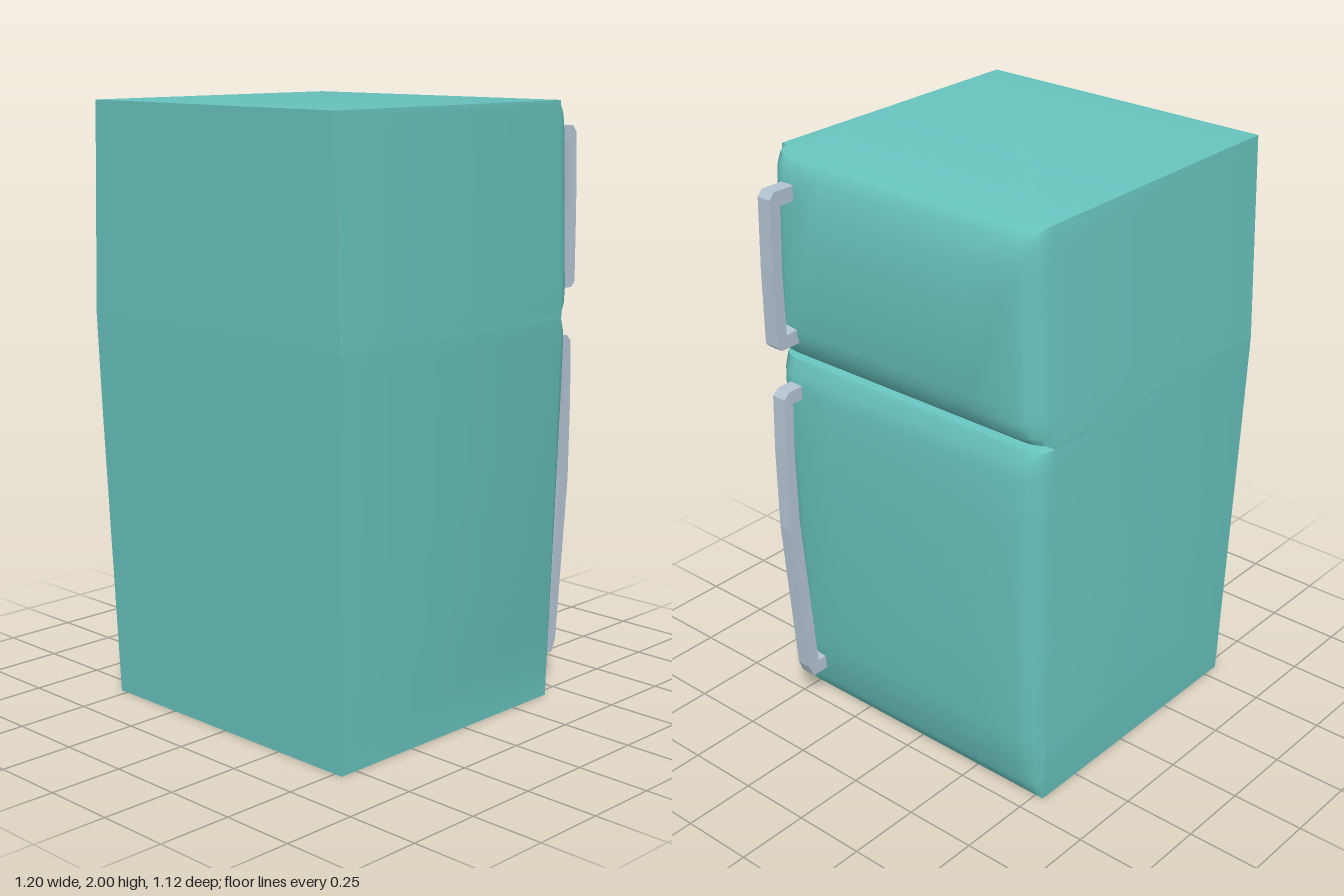
import * as THREE from 'three';
import { toCreasedNormals } from 'three/addons/utils/BufferGeometryUtils.js';

// Linear interpolation through [y, value] pairs listed from bottom to top
function lerpTable(table, y) {
  for (let i = 1; i < table.length; i++) {
    const [y0, a] = table[i - 1], [y1, b] = table[i];
    if (y <= y1) return a + (b - a) * (y - y0) / (y1 - y0);
  }
  return table[table.length - 1][1];
}

const HALF_WIDTH = [[0, 0.53], [1.0, 0.554], [1.31, 0.562], [2, 0.54]];
const BACK_X = [[0, -0.563], [1.0, -0.595], [1.31, -0.602], [2, -0.6]];
const DOOR_X = 0.42; // where the rounded door front begins

// Levels of the cabinet: [y, door edge x, bulging door centre x]
const LEVELS = [
  [0, 0.42, 0.42], [0.02, 0.435, 0.435], [0.06, 0.455, 0.455], [0.25, 0.473, 0.488],
  [0.6, 0.484, 0.5], [1.0, 0.494, 0.512], [1.2, 0.495, 0.497], [1.25, 0.49, 0.49],
  [1.295, 0.465, 0.465], [1.305, 0.42, 0.42],
  [1.312, 0.42, 0.42], [1.32, 0.465, 0.465], [1.345, 0.49, 0.49], [1.39, 0.5, 0.506],
  [1.44, 0.5, 0.525], [1.85, 0.5, 0.525], [1.9, 0.5, 0.506], [1.955, 0.491, 0.491],
  [1.985, 0.468, 0.468], [2, 0.42, 0.42],
];

// Horizontal outline at one level, from the back left round the door to the back right
function outline([y, edge, centre]) {
  const w = lerpTable(HALF_WIDTH, y), d = edge - DOOR_X;
  const half = [
    [lerpTable(BACK_X, y), w], [DOOR_X, w], [DOOR_X + d * 0.55, w - 0.02],
    [DOOR_X + d * 0.88, w - 0.05], [edge, w - 0.08], [centre, 0.3],
  ];
  const mirrored = half.map(([x, z]) => [x, -z]).reverse();
  return [...half, ...mirrored].map(([x, z]) => [x, y, z]);
}

function cabinetGeometry() {
  const rings = LEVELS.map(outline), n = rings[0].length, index = [];
  for (let i = 0; i < rings.length - 1; i++) {
    for (let j = 0; j < n; j++) {
      const a = i * n + j, b = i * n + (j + 1) % n;
      index.push(a, b, b + n, a, b + n, a + n);
    }
  }
  // Top and bottom faces
  const top = (rings.length - 1) * n;
  for (let j = 1; j < n - 1; j++) {
    index.push(top, top + j, top + j + 1, 0, j + 1, j);
  }
  const geo = new THREE.BufferGeometry();
  geo.setAttribute('position', new THREE.Float32BufferAttribute(rings.flat(2), 3));
  geo.setIndex(index);
  return toCreasedNormals(geo, 0.75);
}

// Flat bracket outline in x/y, extruded in z and leaning slightly sideways
function handleGeometry(points, zTop, zBottom) {
  const shape = new THREE.Shape(points.map(([x, y]) => new THREE.Vector2(x, y)));
  const geo = new THREE.ExtrudeGeometry(shape, { depth: 0.053, bevelEnabled: false });
  geo.computeBoundingBox();
  const { min, max } = geo.boundingBox, p = geo.attributes.position;
  for (let i = 0; i < p.count; i++) {
    const t = (p.getY(i) - min.y) / (max.y - min.y);
    p.setZ(i, p.getZ(i) + zBottom + (zTop - zBottom) * t);
  }
  geo.computeVertexNormals();
  return geo;
}

export function createModel() {
  const enamel = new THREE.MeshStandardMaterial({ color: 0x67c2bd });
  enamel.name = 'tealEnamel';
  const metal = new THREE.MeshStandardMaterial({ color: 0xb4c3d1 });
  metal.name = 'paleMetal';

  const group = new THREE.Group();
  group.name = 'refrigerator';
  const add = (name, geometry, material) => {
    const mesh = new THREE.Mesh(geometry, material);
    mesh.name = name;
    group.add(mesh);
  };

  add('cabinet', cabinetGeometry(), enamel);

  add('freezerHandle', handleGeometry([
    [0.47, 1.38], [0.575, 1.378], [0.594, 1.395], [0.6, 1.65], [0.598, 1.89], [0.58, 1.912], [0.47, 1.912],
    [0.47, 1.862], [0.555, 1.862], [0.56, 1.65], [0.552, 1.425], [0.47, 1.43],
  ], 0.415, 0.426), metal);

  add('fridgeHandle', handleGeometry([
    [0.44, 0.113], [0.528, 0.113], [0.546, 0.155], [0.584, 0.72], [0.582, 1.0], [0.573, 1.2], [0.55, 1.22], [0.465, 1.222],
    [0.465, 1.175], [0.537, 1.175], [0.545, 0.98], [0.544, 0.74], [0.502, 0.163], [0.44, 0.163],
  ], 0.432, 0.416), metal);

  return group;
}
